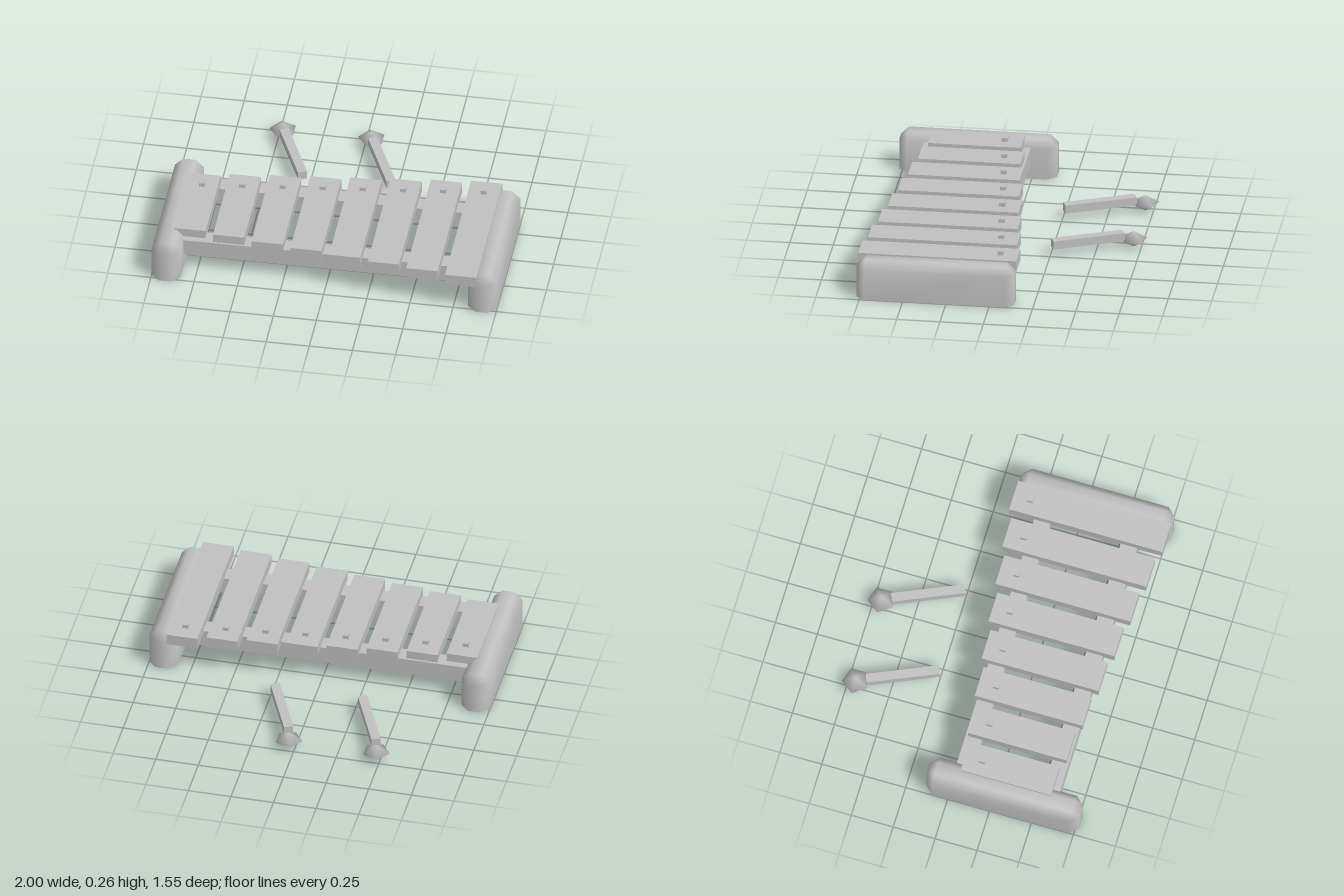
import * as THREE from 'three';

const grey = new THREE.MeshStandardMaterial({ color: 0xc0c0c0 });
grey.name = 'plain grey';

function add(parent, name, geometry, x, y, z) {
  const mesh = new THREE.Mesh(geometry, grey);
  mesh.name = name;
  mesh.position.set(x, y, z);
  parent.add(mesh);
  return mesh;
}

// Block standing on y = 0 with bevelled upright and top edges, smooth all over but for the flat base
function bevelledBlock(w, h, d, b) {
  const x = w / 2, z = d / 2, xi = x - b, zi = z - b;
  const ring = [[x, zi], [xi, z], [-xi, z], [-x, zi], [-x, -zi], [-xi, -z], [xi, -z], [x, -zi]];
  const top = [[xi, zi], [-xi, zi], [-xi, -zi], [xi, -zi]];
  const points = [], index = [];
  for (const y of [0, h - b]) ring.forEach(([px, pz]) => points.push(px, y, pz));
  top.forEach(([px, pz]) => points.push(px, h, pz));
  ring.forEach(([px, pz]) => points.push(px, 0, pz));
  for (let i = 0; i < 8; i++) {
    const j = (i + 1) % 8;
    const t = 16 + (i >> 1), u = 16 + (j >> 1);
    index.push(i, i + 8, j, j, i + 8, j + 8); // upright side
    index.push(i + 8, t, j + 8); // top bevel
    if (t !== u) index.push(j + 8, t, u);
    if (i > 0 && i < 7) index.push(20, 20 + i, 21 + i); // base
  }
  index.push(16, 18, 17, 16, 19, 18);
  const geometry = new THREE.BufferGeometry();
  geometry.setAttribute('position', new THREE.Float32BufferAttribute(points, 3));
  geometry.setIndex(index);
  geometry.computeVertexNormals();
  return geometry;
}

export function createModel() {
  const model = new THREE.Group();
  model.name = 'xylophone';
  const midZ = 0.315;

  // End blocks
  const block = bevelledBlock(0.167, 0.232, 0.91, 0.047);
  add(model, 'leftEndBlock', block, 0.9165, 0, midZ);
  add(model, 'rightEndBlock', block, -0.9165, 0, midZ);

  // Long rails under the bars
  const rail = new THREE.BoxGeometry(1.7, 0.102, 0.097);
  add(model, 'backRail', rail, 0, 0.14, 0.056);
  add(model, 'frontRail', rail, 0, 0.14, 0.573);

  // Bars growing longer from right to left, each with a peg near the back
  const peg = new THREE.BoxGeometry(0.034, 0.04, 0.034);
  for (let i = 0; i < 8; i++) {
    const x = -0.802 + i * 0.2285;
    const length = 0.535 + i * 0.0538;
    add(model, 'bar' + (i + 1), new THREE.BoxGeometry(0.181, 0.067, length), x, 0.2085, midZ);
    add(model, 'peg' + (i + 1), peg, x, 0.245, 0.151 - i * 0.0272);
  }

  // Pair of mallets lying behind
  const stick = new THREE.BoxGeometry(0.053, 0.05, 0.424);
  const head = new THREE.SphereGeometry(0.08, 5, 2);
  head.scale(1, 0.6, 1);
  for (const [name, x] of [['rightMallet', 0], ['leftMallet', 0.513]]) {
    const mallet = new THREE.Group();
    mallet.name = name;
    mallet.position.x = x;
    add(mallet, 'malletStick', stick, -0.375, 0.07, -0.454).rotation.y = Math.atan2(0.171, 0.388);
    add(mallet, 'malletHead', head, -0.474, 0.048, -0.704);
    model.add(mallet);
  }
  return model;
}
